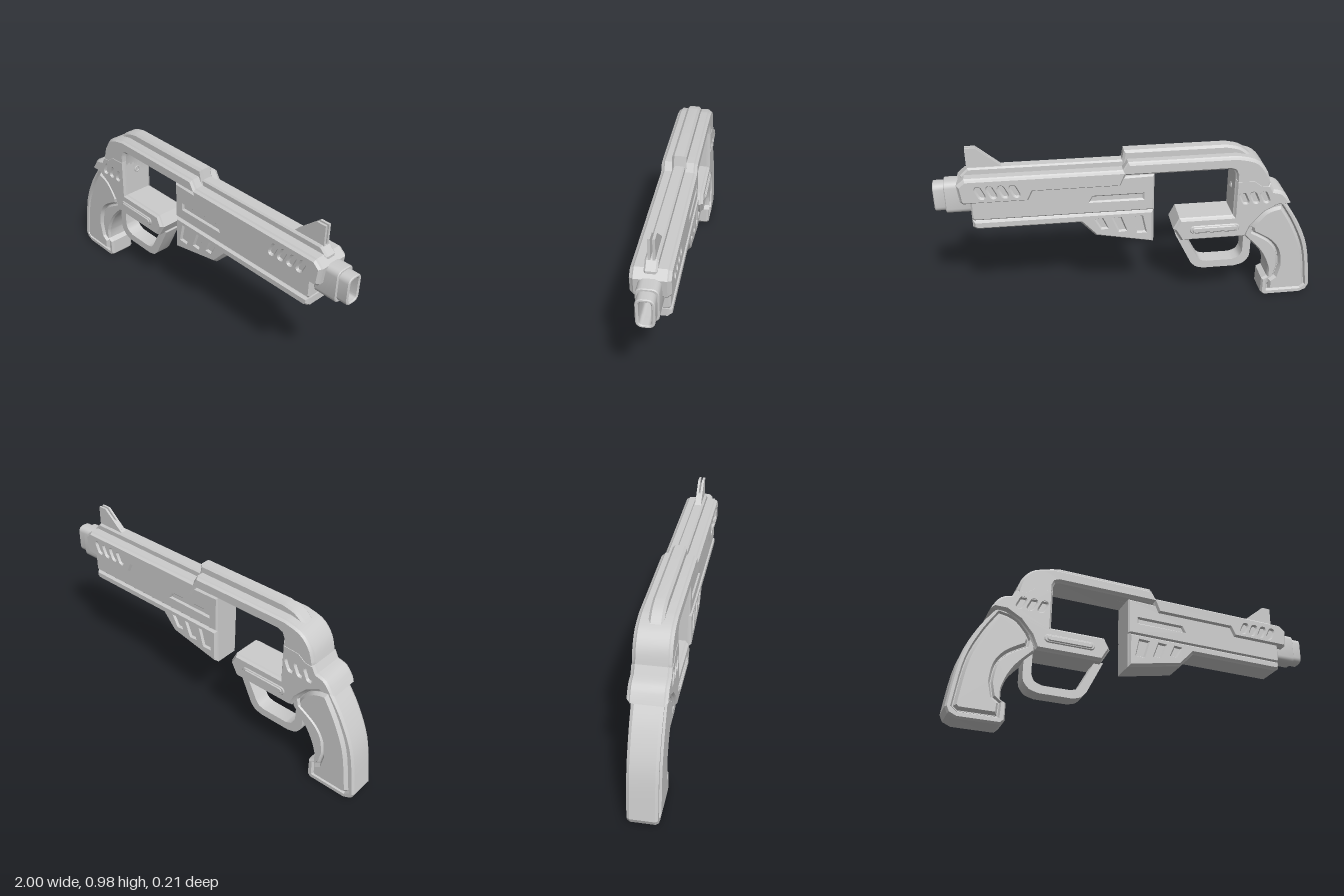
import * as THREE from 'three';
import { toCreasedNormals } from 'three/addons/utils/BufferGeometryUtils.js';

const grey = new THREE.MeshStandardMaterial({ color: 0xcccccc });
grey.name = 'plain grey';

const vec = (pts) => pts.map(([x, y]) => new THREE.Vector2(x, y));

// smooth run of points through a few guides
const curve = (pts, n = 10) =>
  new THREE.SplineCurve(vec(pts)).getPoints(n).map((p) => [p.x, p.y]);

// rounded rectangle outline around a centre, optionally slanted
function pill(cx, cy, w, h, r, slant = 0) {
  const out = [];
  for (let q = 0; q < 4; q++) {
    const sx = q === 0 || q === 3 ? 1 : -1, sy = q < 2 ? 1 : -1;
    for (let i = 0; i <= 4; i++) {
      const a = (q + i / 4) * Math.PI / 2;
      const y = sy * (h / 2 - r) + r * Math.sin(a);
      out.push([cx + sx * (w / 2 - r) + r * Math.cos(a) + slant * y, cy + y]);
    }
  }
  return out;
}

// chamfered slab centred on z = 0; inset shrinks the outline
function slab(pts, half, bevel, holes = [], inset = 0, bevelSize = bevel) {
  const shape = new THREE.Shape(vec(pts));
  shape.holes = holes.map((h) => new THREE.Path(vec(h)));
  const depth = 2 * (half - bevel);
  const geo = new THREE.ExtrudeGeometry(shape, {
    depth, steps: 1, bevelEnabled: bevel > 0, bevelThickness: bevel,
    bevelSize, bevelOffset: -bevelSize - inset, bevelSegments: 1,
  });
  geo.translate(0, 0, -depth / 2);
  return toCreasedNormals(geo, 0.45);
}

export function createModel() {
  const model = new THREE.Group();
  model.name = 'propBlaster';
  const add = (name, geo) => {
    const mesh = new THREE.Mesh(geo, grey);
    mesh.name = name;
    model.add(mesh);
    return mesh;
  };
  // solid body under a chamfered skin whose openings become shallow recesses
  const recessed = (name, pts, half, holes) => {
    add(name, slab(pts, half - 0.012, 0.006));
    add(name + 'Skin', slab(pts, half, 0.012, holes, 0.006, 0.008));
  };
  const vents = (xs, y) => xs.map((x) => pill(x, y, 0.012, 0.046, 0.005, 0.45));

  // upper shell: barrel cover running back into the arch
  recessed('upperShell', [
    [0.84, 0.84], [0.88, 0.805], [0.87, 0.715], [0.855, 0.7], [0.53, 0.7], [0.505, 0.75],
    [0.065, 0.75], [0.04, 0.81], [-0.495, 0.81], [-0.515, 0.802], [-0.525, 0.78], [-0.525, 0.66], [-0.7, 0.66],
    ...curve([[-0.715, 0.71], [-0.69, 0.79], [-0.63, 0.855], [-0.53, 0.882]], 10),
    [0.03, 0.882], [0.055, 0.84],
  ], 0.091, vents([0.597, 0.654, 0.711, 0.768], 0.765));

  // top rib and split sight
  add('topRib', slab([
    [-0.62, 0.85], ...curve([[-0.6, 0.872], [-0.55, 0.908], [-0.48, 0.925]], 6),
    [0.045, 0.925], [0.068, 0.8], [-0.6, 0.83],
  ], 0.036, 0.012));
  add('frontRib', slab([[0, 0.8], [0, 0.873], [0.82, 0.873], [0.86, 0.835], [0.86, 0.8]], 0.03, 0.008));
  const blade = [[0.64, 0.86], [0.775, 0.975], [0.825, 0.975], [0.825, 0.86]];
  for (const s of [-1, 1]) {
    add('sightBlade', slab(blade, 0.006, 0).translate(0, 0, s * 0.011));
  }
  add('sightCore', slab([[0.64, 0.86], [0.71, 0.92], [0.73, 0.92], [0.73, 0.86]], 0.006, 0));

  // receiver block with long side groove
  const groove = [[-0.046, 0.672], [0.224, 0.672], [0.209, 0.698], [-0.046, 0.698]];
  add('receiver', slab([
    [-0.105, 0.603], [0.81, 0.603], [0.82, 0.615], [0.82, 0.78], [-0.105, 0.805],
  ], 0.078, 0.008, [groove]));
  add('grooveFloor', new THREE.BoxGeometry(0.34, 0.075, 0.132).translate(0.095, 0.6875, 0));

  // foregrip with slanted recesses
  recessed('foregrip', [
    [-0.105, 0.407], [0.2, 0.467], [0.275, 0.55], [0.8, 0.55], [0.82, 0.565], [0.82, 0.605], [-0.105, 0.605],
  ], 0.083, [
    [[-0.036, 0.561], [0.001, 0.561], [-0.023, 0.484], [-0.053, 0.484]],
    [[0.074, 0.561], [0.1, 0.561], [0.072, 0.499], [0.05, 0.499]],
    [[0.168, 0.561], [0.19, 0.561], [0.165, 0.52], [0.148, 0.52]],
  ]);

  // muzzle: stepped hollow box
  const muzzle = (name, x0, x1, w, h) => add(name,
    slab(pill(0, 0.722, w, h, 0.03), (x1 - x0) / 2, 0.004, [pill(0, 0.722, 0.056, 0.125, 0.018)])
      .rotateY(Math.PI / 2).translate((x0 + x1) / 2, 0, 0));
  muzzle('muzzleCollar', 0.82, 0.945, 0.104, 0.175);
  muzzle('muzzleTip', 0.93, 1, 0.086, 0.153);

  // rear frame with trigger housing and back hump
  recessed('rearFrame', [
    [-0.525, 0.755], [-0.525, 0.54], [-0.24, 0.54], [-0.208, 0.478], [-0.25, 0.405], [-0.6, 0.405],
    [-0.63, 0.475], [-0.69, 0.545], [-0.76, 0.585], [-0.835, 0.59],
    ...curve([[-0.81, 0.635], [-0.78, 0.665], [-0.735, 0.678]], 5),
    [-0.715, 0.715], [-0.67, 0.72], [-0.63, 0.75],
  ], 0.093, vents([-0.688, -0.632, -0.576], 0.643));
  add('sideButtonRim', slab(pill(-0.428, 0.473, 0.267, 0.046, 0.022), 0.098, 0.005));
  add('sideButton', slab(pill(-0.428, 0.473, 0.24, 0.03, 0.014), 0.103, 0.005));
  add('framePin', new THREE.TorusGeometry(0.014, 0.005, 6, 16)
    .rotateY(Math.PI / 2).translate(-0.525, 0.68, 0));

  // trigger guard
  add('triggerGuard', slab([
    [-0.645, 0.45], [-0.645, 0.27], ...curve([[-0.64, 0.245], [-0.61, 0.21], [-0.56, 0.195]], 6),
    ...curve([[-0.39, 0.195], [-0.345, 0.208], [-0.315, 0.24]], 6), [-0.23, 0.415], [-0.275, 0.415],
    ...curve([[-0.35, 0.272], [-0.37, 0.248], [-0.405, 0.238]], 6),
    ...curve([[-0.545, 0.238], [-0.585, 0.255], [-0.602, 0.29]], 6), [-0.602, 0.45],
  ], 0.043, 0));

  // grip: rim, recessed floor and raised side panel
  const gripOutline = [
    ...curve([[-0.8, 0.6], [-0.885, 0.475], [-0.96, 0.3], [-1, 0.05]], 14),
    [-0.985, 0.018], [-0.945, 0], [-0.74, 0], [-0.72, 0.02], [-0.72, 0.11], [-0.748, 0.125],
    ...curve([[-0.748, 0.175], [-0.725, 0.24], [-0.68, 0.315], [-0.6, 0.4]], 10),
    [-0.6, 0.45], [-0.7, 0.58],
  ];
  const panelOutline = [
    ...curve([[-0.79, 0.575], [-0.865, 0.45], [-0.93, 0.29], [-0.968, 0.055]], 14),
    [-0.945, 0.035], [-0.755, 0.035], [-0.752, 0.105], [-0.785, 0.13],
    ...curve([[-0.8, 0.2], [-0.785, 0.29], [-0.735, 0.36], [-0.64, 0.42]], 12),
    [-0.632, 0.455], ...curve([[-0.65, 0.49], [-0.7, 0.545], [-0.75, 0.568]], 6),
  ];
  add('gripBody', slab(gripOutline, 0.074, 0.014, [panelOutline], 0, 0.008));
  add('gripFloor', slab(panelOutline, 0.062, 0));
  add('gripPanel', slab(panelOutline, 0.082, 0.018, [], 0.005, 0.012));

  return model;
}
